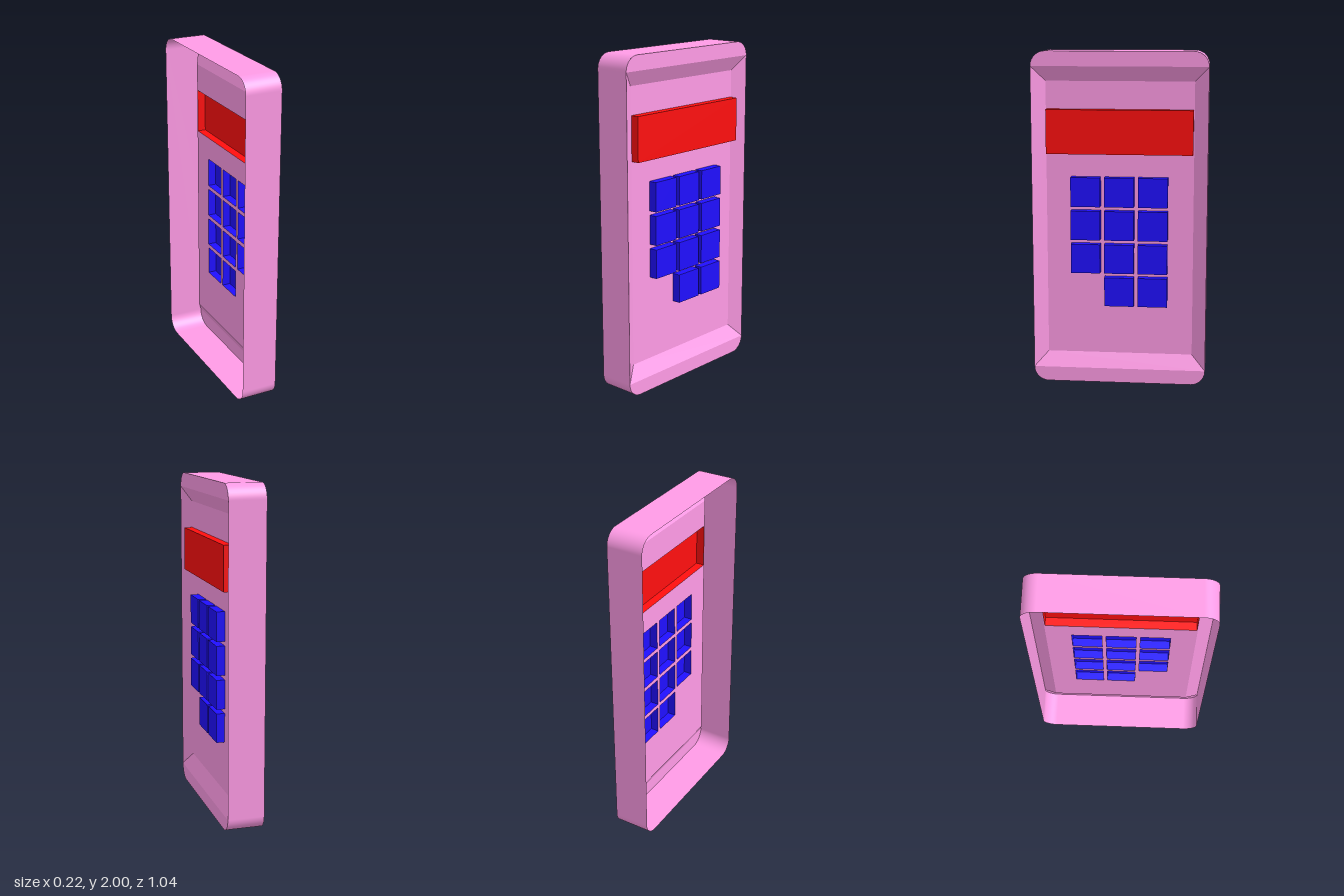
import * as THREE from 'three';

const HALF_X = 0.11, PANEL_X = 0.06, W = 0.52, H = 2, R = 0.088;
const KEY = 0.176;

const paint = (color, flatShading = false) =>
  new THREE.MeshStandardMaterial({ color, flatShading, side: THREE.DoubleSide });

// Rectangle outline, centred at (u, y); u runs towards -z
function rectPoints(u, y, w, h) {
  return [[-1, -1], [1, -1], [1, 1], [-1, 1]].map(
    ([a, b]) => new THREE.Vector2(u + a * w / 2, y + b * h / 2));
}

// Sheet joining two closed outlines with equal point counts
function loft(a, xa, b, xb) {
  const pos = [], idx = [], n = a.length;
  a.forEach((p, i) => pos.push(xa, p.y, -p.x, xb, b[i].y, -b[i].x));
  for (let i = 0; i < n; i++) {
    const p = 2 * i, q = 2 * ((i + 1) % n);
    idx.push(p, q, p + 1, q, q + 1, p + 1);
  }
  const g = new THREE.BufferGeometry();
  g.setAttribute('position', new THREE.Float32BufferAttribute(pos, 3));
  g.setIndex(idx);
  g.computeVertexNormals();
  return g;
}

// Flat sheet facing +x
function sheet(shape, x) {
  return new THREE.ShapeGeometry(shape, 12).rotateY(Math.PI / 2).translate(x, 0, 0);
}

// Raised cap, hollow and open towards -x
function cap(w, h) {
  const g = new THREE.BoxGeometry(HALF_X - PANEL_X, h, w);
  const idx = Array.from(g.index.array);
  idx.splice(6, 6); // drop the -x face
  g.setIndex(idx);
  g.clearGroups();
  return g;
}

export function createModel() {
  const model = new THREE.Group();
  const pink = paint(0xff9be6), pinkFlat = paint(0xff9be6, true);
  const red = paint(0xff0f0f), blue = paint(0x200fff);
  const add = (name, geometry, material, parent = model) => {
    const mesh = new THREE.Mesh(geometry, material);
    mesh.name = name;
    parent.add(mesh);
    return mesh;
  };

  // Outer wall: thin rounded band, open at the back
  const outline = [];
  [[1, 0], [1, 1], [-1, 1], [-1, 0]].forEach(([su, top], corner) => {
    const cy = top ? H - R : R;
    for (let i = 0; i <= 10; i++) {
      const t = (corner - 1 + i / 10) * Math.PI / 2;
      outline.push(new THREE.Vector2(su * (W - R) + R * Math.cos(t), cy + R * Math.sin(t)));
    }
  });
  add('outerWall', loft(outline, -HALF_X, outline, HALF_X), pink);

  // Flat rim bands at the top and bottom ends
  for (const end of [1, -1]) {
    const band = new THREE.Shape();
    const y = v => H / 2 + end * (v - H / 2);
    band.moveTo(-W, y(H - R));
    band.lineTo(W, y(H - R));
    band.absarc(W - R, y(H - R), R, 0, end * Math.PI / 2, end < 0);
    band.absarc(-W + R, y(H - R), R, end * Math.PI / 2, end * Math.PI, end < 0);
    add(end > 0 ? 'topRim' : 'bottomRim', sheet(band, HALF_X), pink);
  }

  // Bevel sloping from the rim down to the panel
  const panelOutline = rectPoints(0, H / 2, 0.876, 1.65);
  add('bevel', loft(rectPoints(0, H / 2, 2 * W, H - 2 * R), HALF_X, panelOutline, PANEL_X), pinkFlat);

  // Recessed panel, with openings behind the display and keys
  const panel = new THREE.Shape(panelOutline);
  const cutout = (u, y, w, h) => panel.holes.push(new THREE.Path(rectPoints(u, y, w, h)));
  const capX = (HALF_X + PANEL_X) / 2;

  cutout(0, 1.53, 0.866, 0.262);
  add('display', cap(0.866, 0.262), red).position.set(capX, 1.53, 0);

  // Key grid; the last row lacks its first key
  const keys = new THREE.Group();
  keys.name = 'keypad';
  model.add(keys);
  [1.173, 0.972, 0.77, 0.568].forEach((y, row) => {
    for (let col = row === 3 ? 1 : 0; col < 3; col++) {
      const z = 0.202 - 0.2005 * col;
      cutout(-z, y, KEY, KEY);
      add('key', cap(KEY, KEY), blue, keys).position.set(capX, y, z);
    }
  });
  add('panel', sheet(panel, PANEL_X), pink);

  return model;
}
